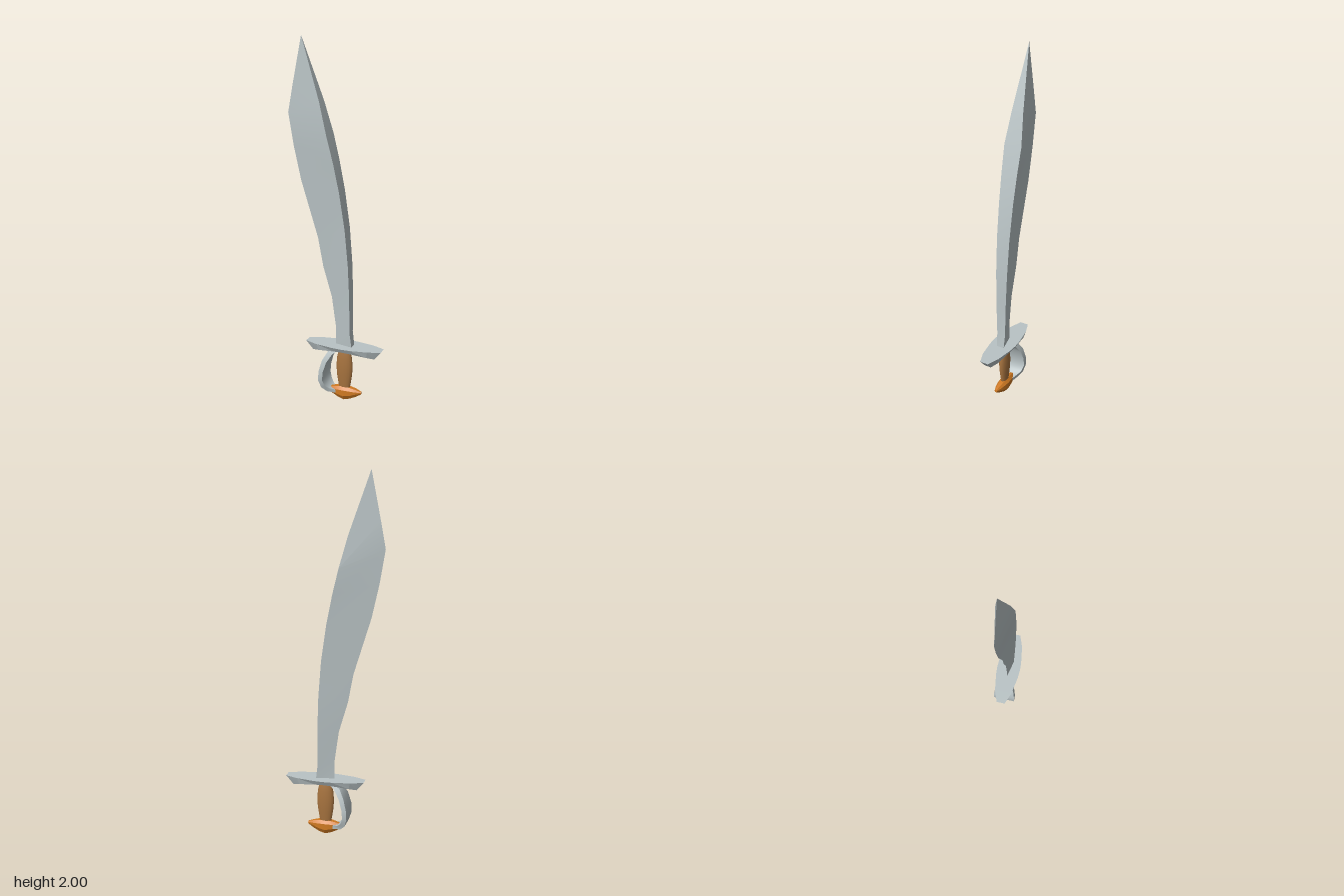
import * as THREE from 'three';
import { toCreasedNormals } from 'three/addons/utils/BufferGeometryUtils.js';

const material = (name, color) => {
  const m = new THREE.MeshStandardMaterial({ color });
  m.name = name;
  return m;
};

// Skin a row of equal rings of [x, y, z] points, closing both ends.
// Rings run counter-clockwise seen from the last ring looking to the first.
// Edges sharper than the crease angle stay hard.
function loft(rings, crease) {
  const n = rings[0].length, index = [];
  for (let i = 0; i < rings.length - 1; i++) {
    for (let j = 0; j < n; j++) {
      const a = i * n + j, b = i * n + (j + 1) % n;
      index.push(a, b, b + n, a, b + n, a + n);
    }
  }
  const last = (rings.length - 1) * n;
  for (let j = 1; j < n - 1; j++) {
    index.push(0, j + 1, j, last, last + j, last + j + 1);
  }
  const g = new THREE.BufferGeometry();
  g.setAttribute('position', new THREE.Float32BufferAttribute(rings.flat(2), 3));
  g.setIndex(index);
  return toCreasedNormals(g, crease);
}

export function createModel() {
  const group = new THREE.Group();
  const steel = material('steel', 0xb9c3c5);
  const wood = material('wood', 0xa8743f);
  const orange = material('orange', 0xd07a22);
  const add = (name, geometry, mat) => {
    const mesh = new THREE.Mesh(geometry, mat);
    mesh.name = name;
    group.add(mesh);
    return mesh;
  };

  // Blade: wedge sections, [edge x, edge y, spine x, spine y, half thickness of spine]
  const blade = [
    [0, 0.315, 0.1, 0.315, 0.022],
    [0, 0.42, 0.088, 0.41, 0.025],
    [-0.025, 0.6, 0.087, 0.62, 0.03],
    [-0.075, 0.77, 0.08, 0.8, 0.034],
    [-0.105, 0.93, 0.063, 1.0, 0.038],
    [-0.2, 1.24, 0.033, 1.2, 0.042],
    [-0.24, 1.42, 0.0, 1.36, 0.046],
    [-0.27, 1.6, -0.035, 1.5, 0.05],
    [-0.244, 1.74, -0.081, 1.67, 0.033],
    [-0.192, 2.0, -0.192, 2.0, 0],
  ];
  add('blade', loft(blade.map(([ex, ey, sx, sy, t]) =>
    [[ex, ey, 0], [sx, sy, t], [sx, sy, -t]]), 0.14), steel);

  // Crossguard: flat top, arched narrower underside, [top x, bottom x, bottom y, half depth]
  const guard = [
    [-0.17, -0.13, 0.279, 0.024],
    [-0.1, -0.09, 0.29, 0.05],
    [0, 0.005, 0.302, 0.066],
    [0.05, 0.05, 0.304, 0.069],
    [0.1, 0.095, 0.302, 0.066],
    [0.2, 0.19, 0.29, 0.05],
    [0.27, 0.23, 0.279, 0.024],
  ];
  add('crossguard', loft(guard.map(([tx, bx, by, d]) => [
    [tx, 0.328, d], [bx, by, d * 0.8], [bx, by, -d * 0.8], [tx, 0.328, -d],
  ]), 0.2), steel);

  // Grip: turned profile flattened to an oval
  const grip = add('grip', new THREE.LatheGeometry([
    [0.03, 0.06], [0.037, 0.1], [0.045, 0.15], [0.048, 0.2], [0.044, 0.25], [0.036, 0.285], [0.028, 0.308],
  ].map(([r, y]) => new THREE.Vector2(r, y)), 16), wood);
  grip.position.x = 0.05;
  grip.scale.z = 0.5;

  // Knuckle guard: curved band, [outer x, outer y, inner x, inner y, half width]
  const knuckle = [
    [0.0, 0.308, 0.03, 0.302, 0.024],
    [-0.037, 0.285, -0.007, 0.278, 0.036],
    [-0.064, 0.235, -0.038, 0.228, 0.054],
    [-0.081, 0.17, -0.056, 0.168, 0.063],
    [-0.084, 0.115, -0.06, 0.118, 0.063],
    [-0.07, 0.07, -0.047, 0.083, 0.052],
    [-0.042, 0.042, -0.025, 0.062, 0.034],
    [0.02, 0.035, 0.02, 0.055, 0.02],
  ];
  add('knuckleGuard', loft(knuckle.map(([ox, oy, ix, iy, w]) => [
    [ox, oy, w], [ox, oy, -w], [ix, iy, -w], [ix, iy, w],
  ]), 0.8), steel);

  // Pommel: boat-shaped cap with flat cheeks,
  // [x from centre, bottom, cheek bottom, cheek top, top, half depth]
  const pommel = [
    [-0.1, 0.044, 0.05, 0.054, 0.058, 0.007],
    [-0.07, 0.026, 0.044, 0.057, 0.068, 0.018],
    [-0.035, 0.01, 0.032, 0.06, 0.076, 0.026],
    [0, 0.0, 0.026, 0.061, 0.079, 0.029],
    [0.035, 0.01, 0.032, 0.06, 0.076, 0.026],
    [0.07, 0.026, 0.044, 0.057, 0.068, 0.018],
    [0.1, 0.044, 0.05, 0.054, 0.058, 0.007],
  ];
  add('pommel', loft(pommel.map(([x, b, cb, ct, t, d]) => [
    [t, 0.5], [ct, 1], [cb, 1], [b, 0.5], [b, -0.5], [cb, -1], [ct, -1], [t, -0.5],
  ].map(([y, k]) => [x + 0.05, y, k * d])), 0.2), orange);

  return group;
}
